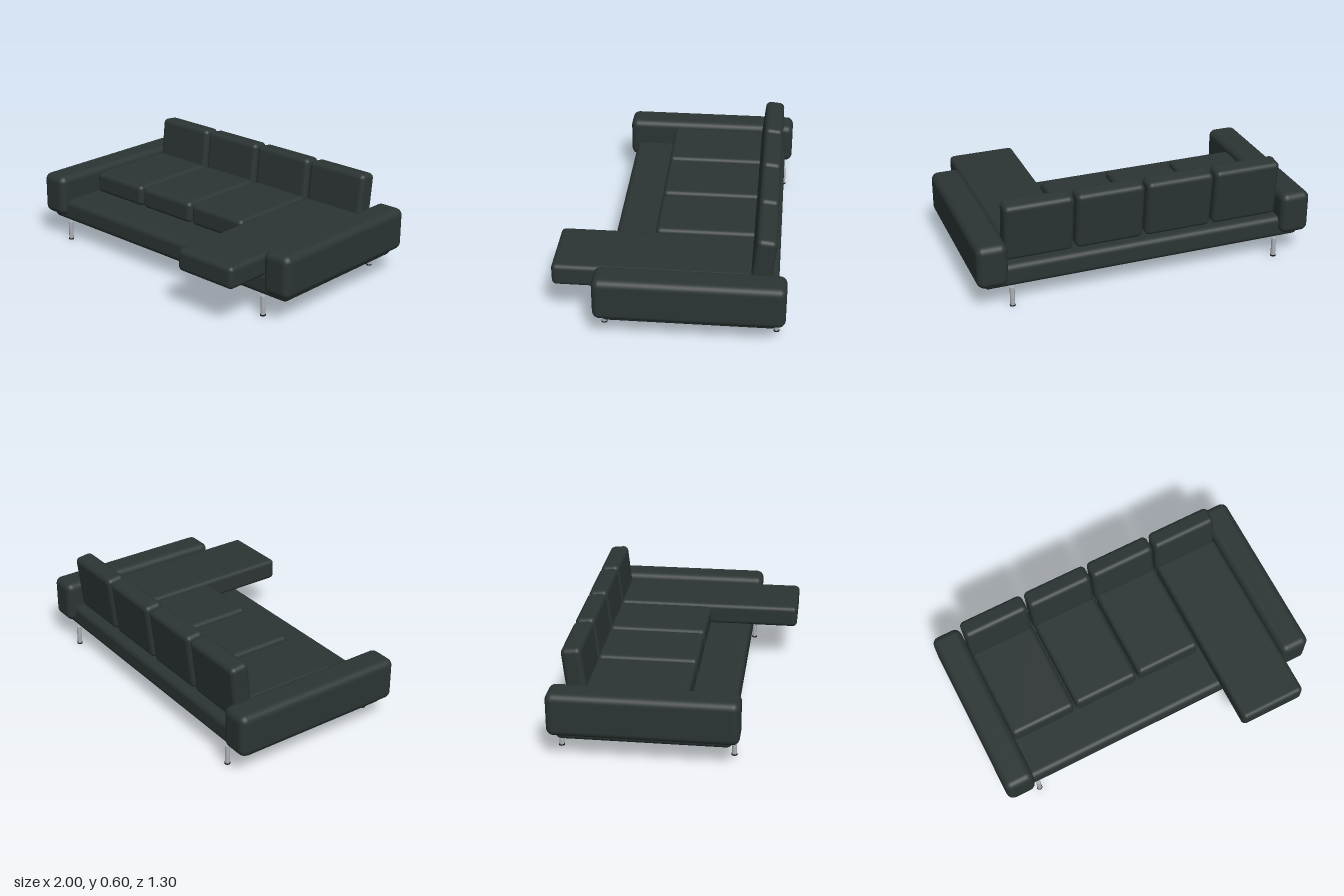
import * as THREE from 'three';
import { RoundedBoxGeometry } from 'three/addons/geometries/RoundedBoxGeometry.js';

export function createModel() {
  const sofa = new THREE.Group();
  sofa.name = 'sofa';

  const leather = new THREE.MeshStandardMaterial({ color: 0x2c3534 });
  leather.name = 'dark leather';
  const steel = new THREE.MeshStandardMaterial({ color: 0xacb1b6 });
  steel.name = 'brushed steel';
  const rubber = new THREE.MeshStandardMaterial({ color: 0x151818 });
  rubber.name = 'black rubber';

  // Soft block given by its minimum and maximum corners
  function block(name, min, max, radius) {
    const size = max.map((v, i) => v - min[i]);
    const mesh = new THREE.Mesh(new RoundedBoxGeometry(...size, 5, radius), leather);
    mesh.position.set(...max.map((v, i) => (v + min[i]) / 2));
    mesh.name = name;
    sofa.add(mesh);
    return mesh;
  }

  function cylinder(name, radius, y0, y1, material) {
    const mesh = new THREE.Mesh(new THREE.CylinderGeometry(radius, radius, y1 - y0, 20), material);
    mesh.position.y = (y0 + y1) / 2;
    mesh.name = name;
    return mesh;
  }

  // Base platform
  block('base', [-0.96, 0.115, -0.608], [0.96, 0.25, 0.36], 0.035);

  // Armrests
  block('rightArm', [-1, 0.15, -0.652], [-0.822, 0.403, 0.4], 0.042);
  block('leftArm', [0.822, 0.15, -0.652], [1, 0.403, 0.4], 0.042);

  // Four seats, the last one a long chaise, each with a reclined back cushion
  for (let i = 0; i < 4; i++) {
    const x = -0.622 + i * 0.4147;
    const chaise = i === 3;
    block(chaise ? 'chaiseSeat' : 'seatCushion',
      [x - 0.2, 0.243, -0.47], [x + 0.2, 0.374, chaise ? 0.645 : 0.11], 0.028);
    const back = block('backCushion', [x - 0.2, 0.253, -0.575], [x + 0.2, 0.597, -0.46], 0.03);
    back.rotation.x = -0.11;
  }

  // Steel legs with rubber feet
  for (const x of [-0.8, 0.8]) {
    for (const z of [0.36, -0.605]) {
      const leg = new THREE.Group();
      leg.name = 'leg';
      leg.add(cylinder('legTube', 0.014, 0.007, 0.117, steel));
      leg.add(cylinder('foot', 0.0165, 0, 0.007, rubber));
      leg.position.set(x, 0, z);
      sofa.add(leg);
    }
  }

  return sofa;
}
